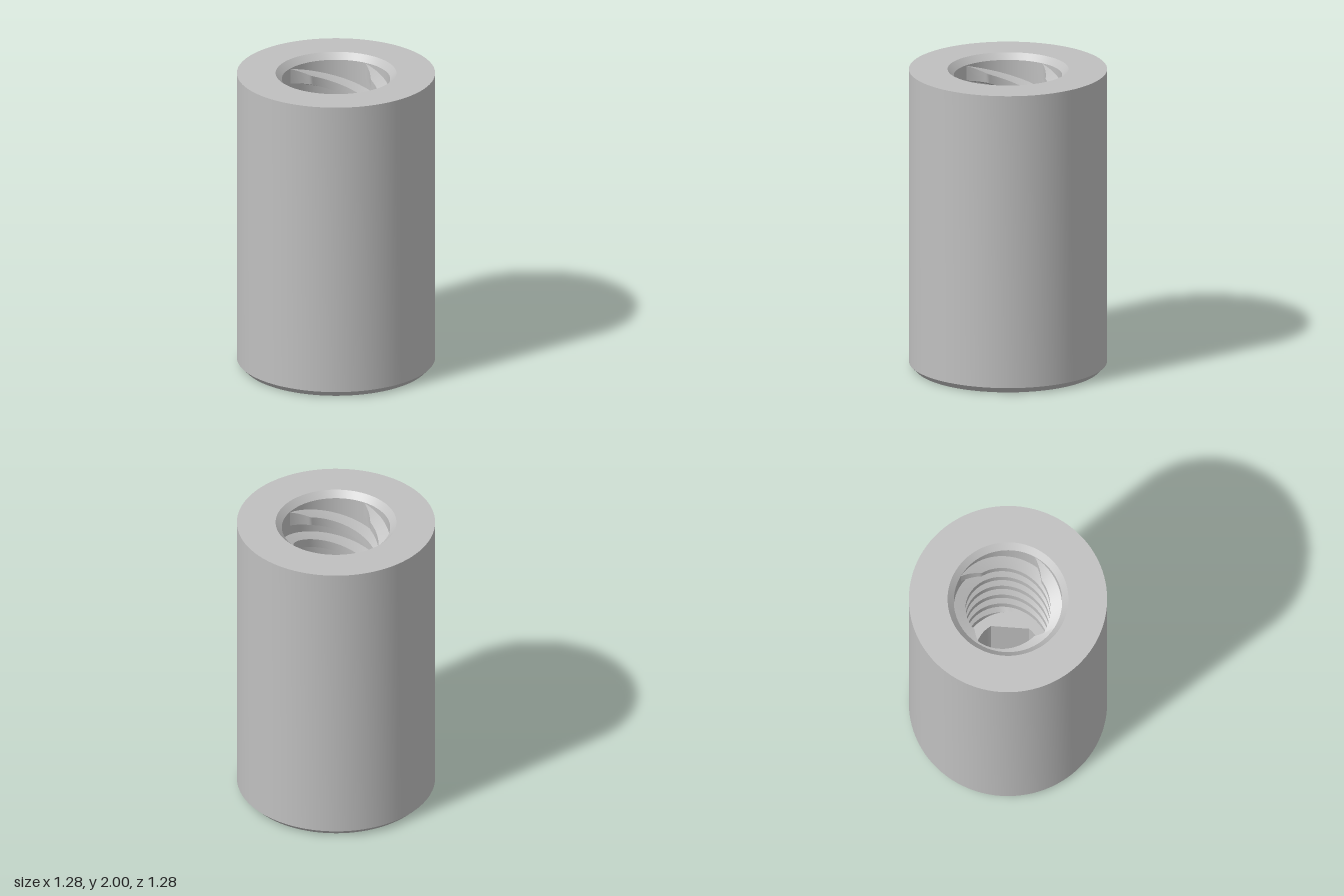
import * as THREE from 'three';
import { toCreasedNormals } from 'three/addons/utils/BufferGeometryUtils.js';

const R = 0.64, BORE = 0.35, CREST = 0.275, FLOOR = 1.0;
const LEAD = 0.67, RAD = Math.PI / 180;

// Surface through rows of points: rows run counterclockwise, columns top to bottom
function grid(rows) {
  const n = rows[0].length, index = [];
  for (let i = 0; i < rows.length - 1; i++) {
    for (let j = 0; j < n - 1; j++) {
      const a = i * n + j, b = a + n, c = a + 1, d = b + 1;
      index.push(a, b, c, b, d, c);
    }
  }
  const g = new THREE.BufferGeometry();
  g.setAttribute('position', new THREE.Float32BufferAttribute(rows.flat(2), 3));
  g.setIndex(index);
  return toCreasedNormals(g, 0.5);
}

// D-shaped outline with its flat on +x
function dLoop(r, flat) {
  const a0 = Math.acos(flat / r), pts = [];
  for (let i = 0; i <= 64; i++) {
    const a = a0 + (2 * Math.PI - 2 * a0) * i / 64;
    pts.push(new THREE.Vector2(r * Math.cos(a), r * Math.sin(a)));
  }
  return pts;
}

// Flat disc with a D-shaped hole, facing up or down
function disc(r, hole, y, up) {
  const s = new THREE.Shape().absarc(0, 0, r, 0, Math.PI * 2);
  s.holes.push(new THREE.Path(hole));
  const g = new THREE.ShapeGeometry(s, 48);
  return g.rotateX(up ? -Math.PI / 2 : Math.PI / 2).translate(0, y, 0);
}

// One helical thread ridge whose upper end tapers into the bore wall
function ridge(start) {
  const rows = [], end = 155;
  for (let deg = end - 540; deg <= end; deg += deg < 130 ? 5 : 2.5) {
    const t = Math.max(0, (deg - 133) / (end - 133));
    const rc = CREST + (BORE - CREST) * t;
    const a = (deg + start) * RAD;
    const top = 1.957 + LEAD * (deg - end) / 360;
    const drop = (BORE - rc) * 0.27;
    const profile = [[BORE + 0.002, top], [rc, top - drop], [rc, top - 0.1 + drop], [BORE + 0.002, top - 0.1]];
    rows.push(profile.map(([r, y]) => [r * Math.cos(a), Math.max(y, FLOOR), -r * Math.sin(a)]));
  }
  return grid(rows);
}

export function createModel() {
  const model = new THREE.Group();
  const metal = new THREE.MeshStandardMaterial({ color: 0xc0c0c0 });
  const add = (name, geometry, parent = model) => {
    const m = new THREE.Mesh(geometry, metal);
    m.name = name;
    parent.add(m);
  };

  // Sleeve: outer wall, bottom chamfer, top face, bore chamfer and bore wall
  const profile = [[0.6, 0], [R, 0.04], [R, 2], [0.39, 2], [BORE, 1.96], [BORE, FLOOR]];
  const sleeve = new THREE.LatheGeometry(profile.map(p => new THREE.Vector2(...p)), 96);
  add('sleeve', toCreasedNormals(sleeve, 0.5));

  // Shaft hole with a chamfered mouth
  const mouth = dLoop(0.24, 0.2), hole = dLoop(0.21, 0.17);
  add('bottomFace', disc(0.6, mouth, 0, false));
  add('boreFloor', disc(BORE, hole, FLOOR, true));
  const rows = hole.map((p, i) => [[p.x, FLOOR, -p.y], [p.x, 0.03, -p.y], [mouth[i].x, 0, -mouth[i].y]]);
  rows.push(rows[0]);
  add('shaftHole', grid(rows));

  // Four-start internal thread
  const thread = new THREE.Group();
  thread.name = 'thread';
  model.add(thread);
  for (let k = 0; k < 4; k++) add('threadRidge', ridge(k * 90), thread);

  return model;
}
